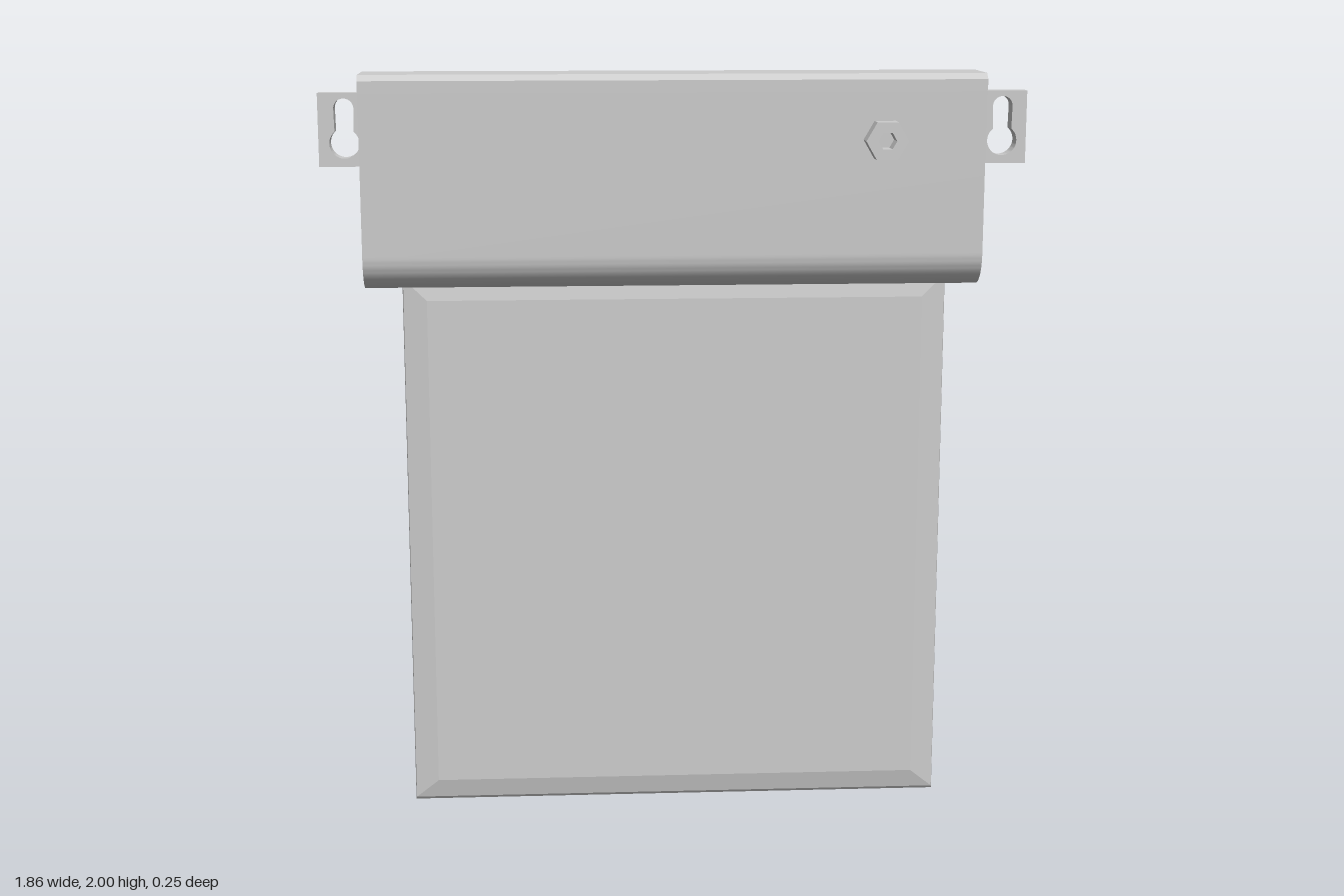
import * as THREE from 'three';
import { toCreasedNormals } from 'three/addons/utils/BufferGeometryUtils.js';

const material = new THREE.MeshStandardMaterial({ color: 0xcccccc });

function add(group, name, geometry) {
  const mesh = new THREE.Mesh(geometry, material);
  mesh.name = name;
  group.add(mesh);
  return mesh;
}

function extrude(shape, depth) {
  const g = new THREE.ExtrudeGeometry(shape, { depth, bevelEnabled: false, curveSegments: 20 });
  return toCreasedNormals(g, 0.5);
}

function hexagon(PathType, r) {
  const points = [];
  for (let i = 0; i < 6; i++) {
    const a = (i * Math.PI) / 3;
    points.push(new THREE.Vector2(r * Math.cos(a), r * Math.sin(a)));
  }
  return new PathType(points);
}

// Solid through rectangles [x0, x1, y0, y1, z], listed from back to front
function loftRectangles(sections) {
  const positions = [];
  const index = [];
  for (const [x0, x1, y0, y1, z] of sections) {
    positions.push(x0, y0, z, x1, y0, z, x1, y1, z, x0, y1, z);
  }
  for (let s = 0; s < sections.length - 1; s++) {
    for (let i = 0; i < 4; i++) {
      const a = s * 4 + i, b = s * 4 + ((i + 1) % 4);
      index.push(a, b, b + 4, a, b + 4, a + 4);
    }
  }
  const f = (sections.length - 1) * 4;
  index.push(0, 2, 1, 0, 3, 2, f, f + 1, f + 2, f, f + 2, f + 3);
  const g = new THREE.BufferGeometry();
  g.setAttribute('position', new THREE.Float32BufferAttribute(positions, 3));
  g.setIndex(index);
  const flat = g.toNonIndexed();
  flat.computeVertexNormals();
  return flat;
}

// Keyhole: large circle below, narrow rounded slot above
function keyhole(x, yLow, rLow, yHigh, rHigh) {
  const p = new THREE.Path();
  const a = Math.acos((rHigh * 0.95) / rLow);
  p.absarc(x, yLow, rLow, Math.PI - a, 2 * Math.PI + a, false);
  p.absarc(x, yHigh, rHigh, 0, Math.PI, false);
  p.closePath();
  return p;
}

export function createModel() {
  const model = new THREE.Group();
  model.name = 'rollerScreen';

  // Housing: rounded underside, chamfered lid with a small lip front and back
  const left = -0.82, right = 0.805, mid = 0.021, r = 0.092;
  const profile = new THREE.Shape();
  profile.moveTo(mid - r, 1.957);
  profile.lineTo(mid - r, 1.44 + r);
  profile.absarc(mid, 1.44 + r, r, Math.PI, 2 * Math.PI, false);
  for (const [u, y] of [[r, 1.957], [0.101, 1.957], [0.101, 1.985], [0.082, 2], [-0.082, 2], [-0.101, 1.985], [-0.101, 1.957]]) {
    profile.lineTo(mid + u, y);
  }
  profile.closePath();
  const housing = extrude(profile, right - left);
  housing.rotateY(Math.PI / 2);
  add(model, 'housing', housing).position.x = left;

  // Hanging panel with a bevelled front
  add(model, 'panel', loftRectangles([
    [-0.724, 0.724, 0, 1.465, -0.05],
    [-0.724, 0.724, 0, 1.465, -0.024],
    [-0.722, 0.722, 0.008, 1.463, -0.018],
    [-0.66, 0.66, 0.06, 1.405, -0.006],
  ]));

  // Mounting tabs with keyholes
  for (const [name, x0, x1] of [['rightMountingTab', -0.93, left], ['leftMountingTab', right, 0.927]]) {
    const tab = new THREE.Shape();
    tab.moveTo(x0, 1.76);
    tab.lineTo(x1, 1.76);
    tab.lineTo(x1, 1.95);
    tab.lineTo(x0, 1.95);
    tab.closePath();
    tab.holes.push(keyhole(Math.sign(x0) * 0.863, 1.82, 0.039, 1.91, 0.026));
    add(model, name, extrude(tab, 0.05)).position.z = -0.057;
  }

  // Hexagonal knob with a hexagonal socket
  const knob = hexagon(THREE.Shape, 0.056);
  knob.holes.push(hexagon(THREE.Path, 0.024));
  add(model, 'knob', extrude(knob, 0.055)).position.set(0.54, 1.83, 0.069);

  return model;
}
